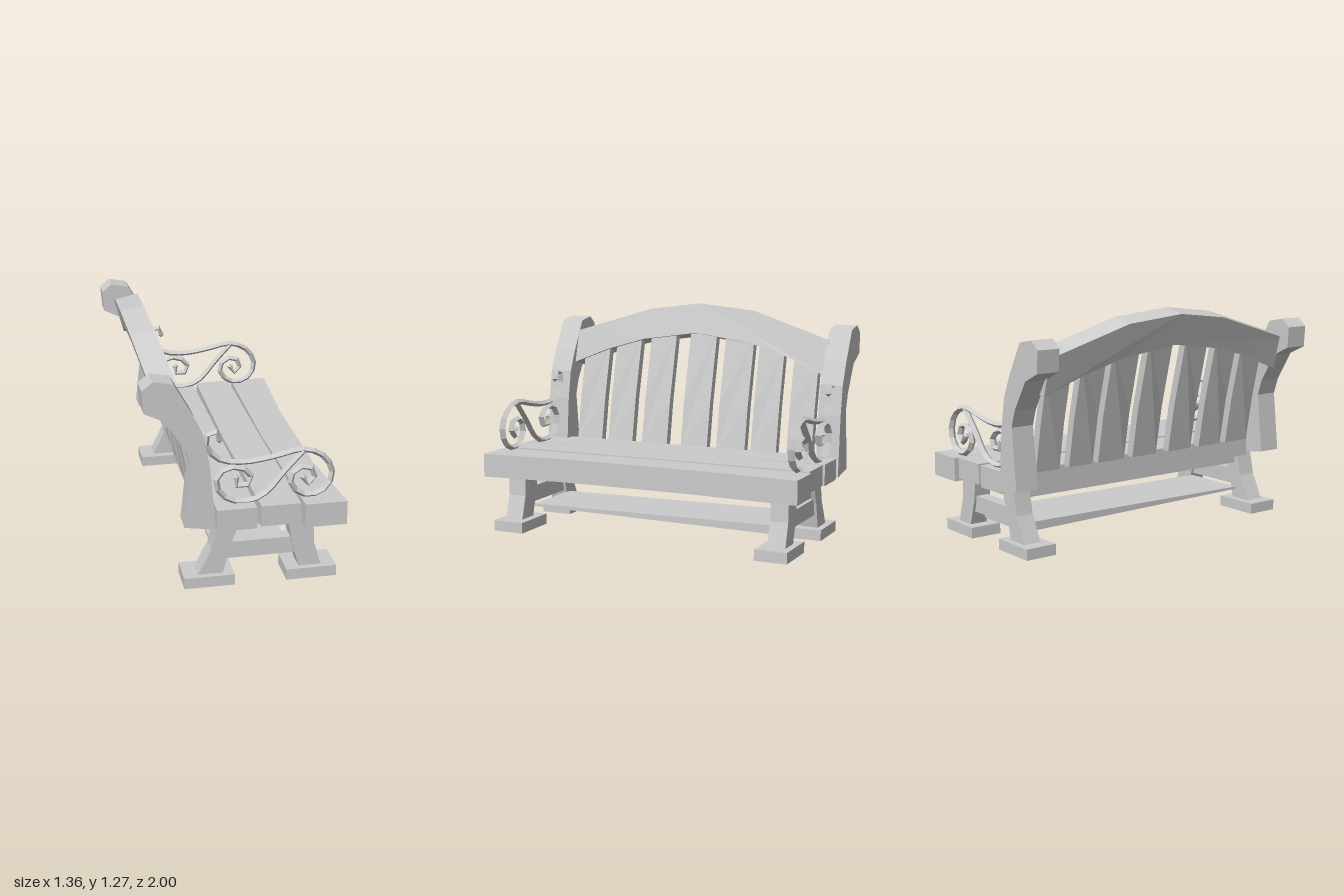
import * as THREE from 'three';

const grey = new THREE.MeshStandardMaterial({ color: 0xcccccc, flatShading: true });
grey.name = 'plain grey';

// Local frame: x = towards the sitter's knees, y = up, z = along the bench
function add(parent, name, geometry) {
  const mesh = new THREE.Mesh(geometry, grey);
  mesh.name = name;
  parent.add(mesh);
  return mesh;
}

function extrude(points, depth) {
  const shape = new THREE.Shape(points.map(p => new THREE.Vector2(p[0], p[1])));
  return new THREE.ExtrudeGeometry(shape, { depth, bevelEnabled: false });
}

// Side profile (x, y) extruded from z0 to z1
const profile = (points, z0, z1) => extrude(points, z1 - z0).translate(0, 0, z0);

// Plan outline (x, z) extruded downwards from the top height
const plan = (points, top, thick) => extrude(points, thick).rotateX(Math.PI / 2).translate(0, top, 0);

function box(x0, x1, y0, y1, z0, z1) {
  return new THREE.BoxGeometry(x1 - x0, y1 - y0, z1 - z0)
    .translate((x0 + x1) / 2, (y0 + y1) / 2, (z0 + z1) / 2);
}

// Long board, thin at the near end and thicker at the far end
function taperedBoard(x0, x1, yMid, nearThick, farThick) {
  const g = box(x0, x1, -0.5, 0.5, -0.76, 0.76);
  const p = g.attributes.position;
  for (let i = 0; i < p.count; i++) {
    p.setY(i, yMid + p.getY(i) * (p.getZ(i) > 0 ? nearThick : farThick));
  }
  g.computeVertexNormals();
  return g;
}

// Face outline (z, y) given a thickness, bent along the leaning backrest;
// the rear face sits lower by drop so the edges stay square to the lean
function leaning(points, thick, setback, drop) {
  const g = extrude(points, thick).rotateY(-Math.PI / 2);
  const p = g.attributes.position;
  for (let i = 0; i < p.count; i++) {
    const t = p.getY(i) - 0.44;
    const back = -p.getX(i) / thick;
    p.setX(i, p.getX(i) - setback - 0.19 - 0.16 * t - 0.1 * t * t);
    p.setY(i, p.getY(i) - drop * back);
  }
  g.computeVertexNormals();
  return g;
}

// Flat-sided iron rod through a few (x, y) points
function rod(points) {
  const curve = new THREE.CatmullRomCurve3(points.map(p => new THREE.Vector3(p[0], p[1], 0)), false, 'centripetal');
  return new THREE.TubeGeometry(curve, Math.round(points.length * 1.3), 0.016, 4, false).scale(1, 1, 1.25);
}

const rodTip = p => new THREE.OctahedronGeometry(0.019).translate(p[0], p[1], 0);

export function createModel() {
  const root = new THREE.Group();
  root.name = 'gardenBench';
  const bench = new THREE.Group();
  bench.name = 'benchBody';
  bench.rotation.y = THREE.MathUtils.degToRad(10);
  root.add(bench);

  // Seat planks, slightly bowed
  add(bench, 'frontSeatPlank', plan([
    [0.288, -0.93], [0.503, -0.93], [0.473, -0.36], [0.473, 0.42], [0.521, 0.93], [0.3, 0.93], [0.277, 0]
  ], 0.446, 0.13));
  add(bench, 'middleSeatPlank', plan([
    [0.06, -0.916], [0.267, -0.916], [0.267, 0], [0.278, 0.916], [0.072, 0.916], [0.052, 0]
  ], 0.45, 0.113));
  add(bench, 'backSeatPlank', plan([
    [-0.16, -0.92], [0.035, -0.92], [0.04, 0], [0.048, 0.92], [-0.16, 0.92],
    [-0.16, 0.77], [-0.212, 0.77], [-0.212, -0.77], [-0.16, -0.77]
  ], 0.448, 0.118));

  // Arched top rail
  add(bench, 'archedBackRail', leaning([
    [-0.81, 0.885], [-0.58, 0.98], [-0.34, 1.05], [0, 1.097], [0.34, 1.05], [0.58, 0.98], [0.79, 0.895],
    [0.79, 1.085], [0.31, 1.228], [0, 1.266], [-0.34, 1.234], [-0.81, 1.085]
  ], 0.127, 0, 0.027));

  // Back slats rising into the arch: centre and half width
  const slats = [
    [-0.686, 0.074], [-0.472, 0.077], [-0.27, 0.088], [-0.04, 0.083], [0.215, 0.081], [0.44, 0.08], [0.646, 0.082]
  ];
  for (const [c, w] of slats) {
    const top = z => 1.12 - 0.32 * z * z;
    add(bench, 'backSlat', leaning([
      [c - w, 0.437], [c + w, 0.437], [c + w, 0.7], [c + w, top(c + w)],
      [c - w, top(c - w)], [c - w, 0.7]
    ], 0.048, 0.015, 0));
  }

  const postOutline = [
    [-0.166, 0.341], [-0.195, 0.684], [-0.224, 0.847], [-0.28, 0.973], [-0.375, 1.142], [-0.477, 1.162],
    [-0.532, 1.117], [-0.524, 1.0], [-0.419, 0.95], [-0.32, 0.79], [-0.29, 0.7], [-0.327, 0.366]
  ];
  const backLeg = [
    [-0.255, 0.05], [-0.12, 0.05], [-0.085, 0.2], [-0.03, 0.345], [-0.148, 0.345], [-0.18, 0.2]
  ];
  const frontLeg = [
    [0.29, 0.05], [0.41, 0.05], [0.368, 0.19], [0.36, 0.345], [0.225, 0.345], [0.25, 0.19]
  ];
  const armBeam = [
    [-0.135, 0.805], [-0.135, 0.842], [-0.185, 0.85], [-0.207, 0.8], [-0.178, 0.735],
    [-0.118, 0.69], [0.003, 0.674], [0.149, 0.692], [0.296, 0.72], [0.387, 0.691], [0.442, 0.63],
    [0.457, 0.57], [0.428, 0.497], [0.351, 0.462], [0.278, 0.482], [0.234, 0.558], [0.26, 0.605],
    [0.314, 0.626], [0.362, 0.594], [0.355, 0.54], [0.318, 0.525], [0.303, 0.565]
  ];
  const armScroll = [
    [0.303, 0.713], [0.204, 0.605], [0.113, 0.496], [0.04, 0.46], [-0.063, 0.462], [-0.133, 0.514],
    [-0.151, 0.59], [-0.107, 0.641], [-0.041, 0.648], [0.021, 0.612], [0.032, 0.561], [-0.015, 0.54],
    [-0.063, 0.561], [-0.048, 0.59]
  ];

  // Parts at both ends; the hand-built ends differ slightly in spacing
  const ends = [
    { name: 'nearEnd', s: 1, post: [0.784, 0.916], leg: [0.755, 0.862], foot: [0.71, 0.893], arm: [0, 0.845] },
    { name: 'farEnd', s: -1, post: [0.8, 0.93], leg: [0.735, 0.835], foot: [0.69, 0.872], arm: [-0.035, 0.865] }
  ];
  for (const { name, s, post, leg, foot, arm } of ends) {
    const end = new THREE.Group();
    end.name = name;
    bench.add(end);
    const span = ([a, b]) => (s > 0 ? [a, b] : [-b, -a]);
    add(end, 'backPost', profile(postOutline, ...span(post)));
    add(end, 'backLeg', profile(backLeg, ...span(leg)));
    add(end, 'frontLeg', profile(frontLeg, ...span(leg)));
    add(end, 'backFoot', box(-0.327, -0.06, 0, 0.06, ...span(foot)));
    add(end, 'frontFoot', box(0.215, 0.484, 0, 0.06, ...span(foot)));
    add(end, 'endStretcher', box(-0.14, 0.28, 0.135, 0.227, ...span([leg[0] + 0.015, leg[1] - 0.015])));

    // Scrolled iron armrest
    const armrest = new THREE.Group();
    armrest.name = 'armrest';
    armrest.position.set(arm[0], 0, s * arm[1]);
    end.add(armrest);
    add(armrest, 'armBeam', rod(armBeam));
    add(armrest, 'armScroll', rod(armScroll));
    for (const p of [armBeam[0], armBeam[armBeam.length - 1], armScroll[armScroll.length - 1]]) {
      add(armrest, 'rodTip', rodTip(p));
    }
  }

  // Long boards under the seat
  add(bench, 'lowerBoard', taperedBoard(-0.14, 0.26, 0.117, 0.014, 0.05));
  add(bench, 'upperBoard', taperedBoard(-0.13, 0.29, 0.292, 0.04, 0.03));

  return root;
}
